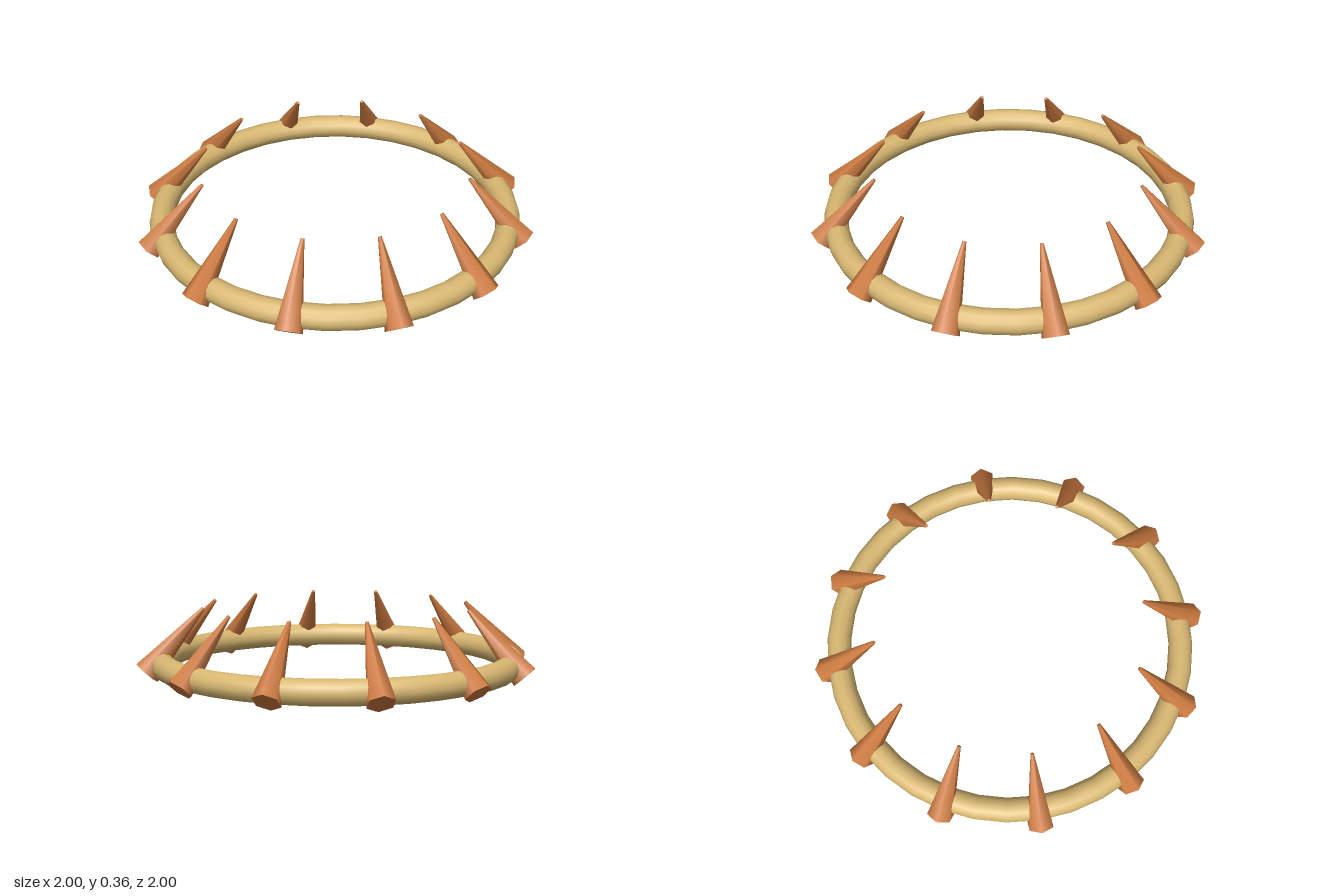
import * as THREE from 'three';

export function createModel() {
  const model = new THREE.Group();
  model.name = 'spikedRing';

  const ringMaterial = new THREE.MeshStandardMaterial({ color: 0xd9b872 });
  ringMaterial.name = 'tan band';
  const spikeMaterial = new THREE.MeshStandardMaterial({ color: 0xd07d42 });
  spikeMaterial.name = 'orange brown spike';

  // Round band lying flat
  const ringGeometry = new THREE.TorusGeometry(0.873, 0.061, 12, 36);
  ringGeometry.rotateX(-Math.PI / 2);
  const ring = new THREE.Mesh(ringGeometry, ringMaterial);
  ring.name = 'band';
  ring.position.y = 0.09;
  model.add(ring);

  // Six-sided blunt spike, base at the origin, leaning inward from the rim
  const length = 0.42;
  const spikeGeometry = new THREE.CylinderGeometry(0.009, 0.068, length, 6);
  spikeGeometry.translate(0, length / 2, 0);
  spikeGeometry.rotateX(-0.73);
  spikeGeometry.translate(0, 0.052, 0.949);

  const spikes = new THREE.Group();
  spikes.name = 'spikes';
  const count = 12;
  for (let i = 0; i < count; i++) {
    const spike = new THREE.Mesh(spikeGeometry, spikeMaterial);
    spike.name = 'spike';
    spike.rotation.y = (i / count) * Math.PI * 2;
    spikes.add(spike);
  }
  model.add(spikes);

  return model;
}
